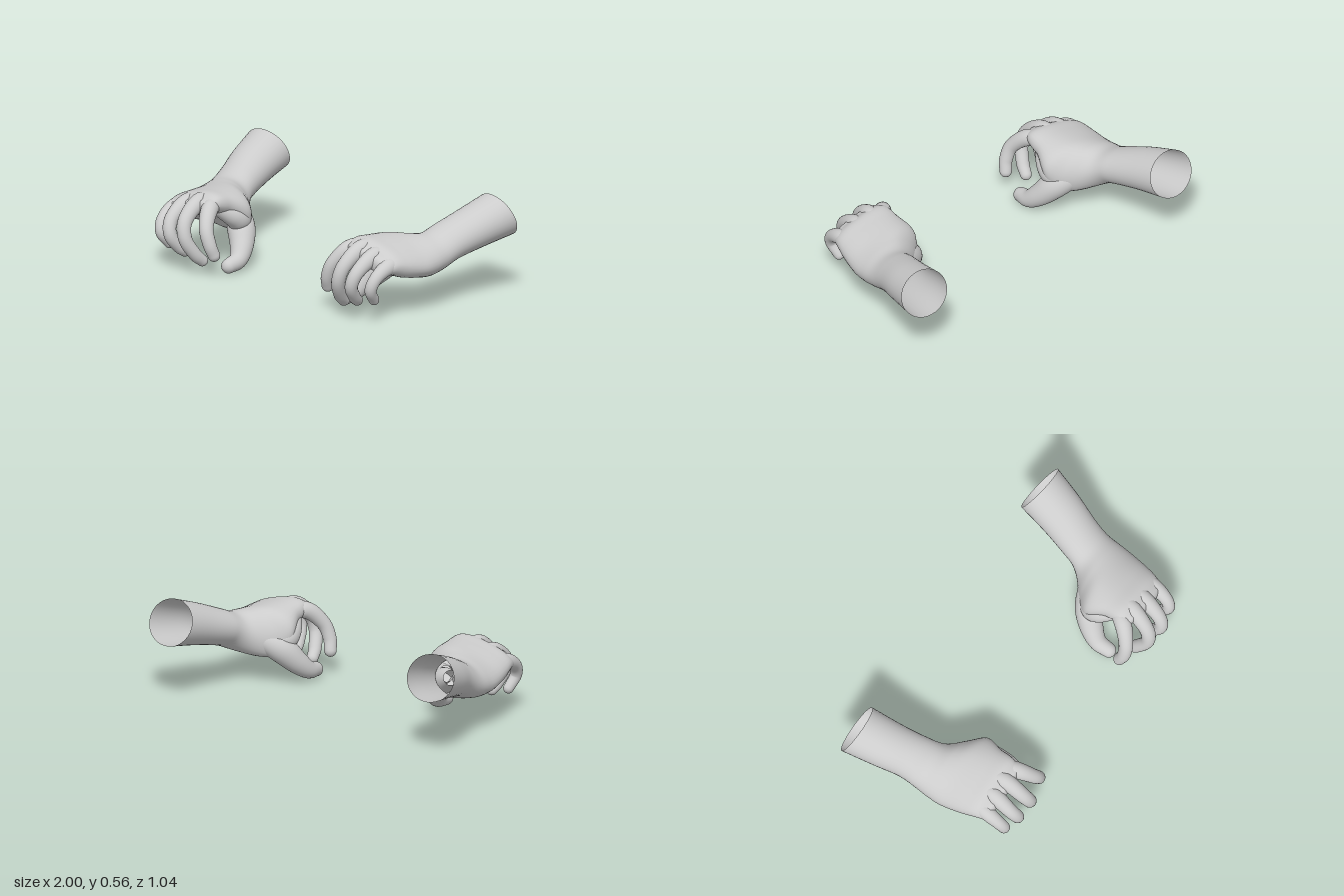
import * as THREE from 'three';

const SIDES = 36;
const V = (x, y, z) => new THREE.Vector3(x, y, z);
const { smoothstep } = THREE.MathUtils;
const skin = new THREE.MeshStandardMaterial({ color: 0xcccccc, side: THREE.DoubleSide });

// Skin a list of rings into a smooth surface, closed by a pole; side = -1 mirrors it in x
function skinRings(rings, pole, side) {
  const pos = [], index = [];
  for (const ring of rings) for (const p of ring) pos.push(p.x * side, p.y, p.z);
  pos.push(pole.x * side, pole.y, pole.z);
  const tri = (a, b, c) => (side > 0 ? index.push(a, b, c) : index.push(a, c, b));
  const last = rings.length - 1;
  for (let i = 0; i <= last; i++) {
    for (let j = 0; j < SIDES; j++) {
      const a = i * SIDES + j, b = i * SIDES + (j + 1) % SIDES;
      if (i === last) { tri(a, b, rings.length * SIDES); continue; }
      tri(a, b, a + SIDES);
      tri(b, b + SIDES, a + SIDES);
    }
  }
  const g = new THREE.BufferGeometry();
  g.setAttribute('position', new THREE.Float32BufferAttribute(pos, 3));
  g.setIndex(index);
  g.computeVertexNormals();
  return g;
}

// Ring of points; power below 1 makes the ellipse boxier
function makeRing(center, u, v, ru, rv, power = 1) {
  const round = (n) => Math.sign(n) * Math.abs(n) ** power;
  const ring = [];
  for (let j = 0; j < SIDES; j++) {
    const a = (j / SIDES) * Math.PI * 2;
    ring.push(center.clone()
      .addScaledVector(u, round(Math.cos(a)) * ru)
      .addScaledVector(v, round(Math.sin(a)) * rv));
  }
  return ring;
}

const curve = (points) => new THREE.CatmullRomCurve3(points, false, 'catmullrom');

// Tapered, round-tipped digit along points [x, y, z, radius]
function digit(points, side, shift = [0, 0, 0]) {
  const f = (i) => Math.min(1, i / 2);
  const path = curve(points.map((p, i) =>
    V(p[0] + shift[0] * f(i), p[1] + shift[1] * f(i), p[2] + shift[2] * f(i))));
  const radius = curve(points.map((p) => V(p[3], 0, 0)));
  const rings = [], steps = 28, caps = 7;
  let c, t, r;
  const add = (center, rad) => {
    const u = V(1, 0, 0).addScaledVector(t, -t.x).normalize();
    rings.push(makeRing(center, u, t.clone().cross(u), rad, rad));
  };
  for (let i = 0; i <= steps; i++) {
    c = path.getPoint(i / steps);
    t = path.getTangent(i / steps);
    r = radius.getPoint(i / steps).x;
    add(c, r);
  }
  for (let i = 1; i < caps; i++) {
    const a = (i / caps) * Math.PI / 2;
    add(c.clone().addScaledVector(t, r * Math.sin(a)), r * Math.cos(a));
  }
  return skinRings(rings, c.clone().addScaledVector(t, r), side);
}

// Forearm, wrist and palm: [x, y, z, half width, half thickness, roll]
const ARM = [
  [0.855, 0.443, -0.475, 0.145, 0.122, -0.1],
  [0.818, 0.395, -0.30, 0.136, 0.108, -0.08],
  [0.778, 0.347, -0.15, 0.13, 0.101, -0.08],
  [0.757, 0.308, -0.05, 0.133, 0.103, -0.15],
  [0.724, 0.301, 0.03, 0.166, 0.108, -0.22],
  [0.689, 0.311, 0.11, 0.2, 0.102, -0.25],
  [0.677, 0.327, 0.22, 0.193, 0.088, -0.25],
  [0.67, 0.344, 0.30, 0.18, 0.07, -0.25],
  [0.67, 0.338, 0.355, 0.16, 0.046, -0.25],
];
const THUMB_SIDE = V(-0.8, -0.6, 0);

function armAndPalm(side) {
  const path = curve(ARM.map((s) => V(s[0], s[1], s[2])));
  const size = curve(ARM.map((s) => V(s[3], s[4], s[5])));
  const rings = [], steps = 72, caps = 6;
  let c, s;
  const add = (center, k) => {
    const z = center.z;
    const u = V(Math.cos(s.z), Math.sin(s.z), 0), v = V(-Math.sin(s.z), Math.cos(s.z), 0);
    // The right hand is a little broader
    const broad = side < 0 ? 0.012 * smoothstep(z, -0.2, 0) : 0;
    const ring = makeRing(center, u, v, (s.x + broad) * k, s.y * k, 1 - 0.15 * smoothstep(z, 0.1, 0.3));
    // Forearm sections lean back, hand sections stand upright; the ball of the thumb swells out
    const lean = 1 - smoothstep(z, -0.35, 0.05);
    const ball = 0.1 * smoothstep(z, -0.13, 0.06) * (1 - smoothstep(z, 0.09, 0.24));
    for (const p of ring) {
      const facing = Math.max(0, p.clone().sub(center).normalize().dot(THUMB_SIDE));
      p.z += lean * (0.4 * (p.y - center.y) + 0.08 * (p.x - center.x));
      p.addScaledVector(THUMB_SIDE, ball * facing * facing);
    }
    rings.push(ring);
  };
  for (let i = 0; i <= steps; i++) {
    c = path.getPoint(i / steps);
    s = size.getPoint(i / steps);
    add(c, 1);
  }
  for (let i = 1; i < caps; i++) {
    const a = (i / caps) * Math.PI / 2;
    add(c.clone().add(V(0, 0, 0.03 * Math.sin(a))), Math.cos(a));
  }
  return skinRings(rings, c.clone().add(V(0, 0, 0.03)), side);
}

const DIGITS = {
  indexFinger: [[0.58, 0.345, 0.19, 0.035], [0.515, 0.365, 0.315, 0.047], [0.448, 0.285, 0.39, 0.04],
    [0.412, 0.2, 0.403, 0.037], [0.395, 0.135, 0.385, 0.034]],
  middleFinger: [[0.63, 0.35, 0.19, 0.035], [0.598, 0.382, 0.32, 0.047], [0.572, 0.305, 0.437, 0.041],
    [0.548, 0.21, 0.465, 0.038], [0.52, 0.12, 0.42, 0.036], [0.506, 0.075, 0.375, 0.032]],
  ringFinger: [[0.70, 0.33, 0.19, 0.035], [0.69, 0.358, 0.32, 0.047], [0.675, 0.29, 0.443, 0.039],
    [0.655, 0.208, 0.476, 0.036], [0.635, 0.135, 0.43, 0.034], [0.623, 0.105, 0.395, 0.031]],
  littleFinger: [[0.78, 0.305, 0.19, 0.035], [0.79, 0.316, 0.315, 0.045], [0.785, 0.272, 0.412, 0.036],
    [0.77, 0.203, 0.445, 0.033], [0.752, 0.135, 0.4, 0.029]],
  thumb: [[0.66, 0.28, 0.0, 0.04], [0.59, 0.25, 0.045, 0.065], [0.517, 0.2, 0.095, 0.077],
    [0.462, 0.127, 0.15, 0.065], [0.428, 0.069, 0.215, 0.05], [0.427, 0.05, 0.29, 0.041]],
  thumbWeb: [[0.60, 0.28, 0.05, 0.045], [0.522, 0.25, 0.11, 0.065], [0.508, 0.28, 0.165, 0.06],
    [0.54, 0.335, 0.25, 0.042]],
};

// The right hand holds its fingers slightly differently
const RIGHT_SHIFT = {
  indexFinger: [0.025, 0, 0.035],
  middleFinger: [0.03, 0, 0.015],
  ringFinger: [0.035, 0, 0.003],
  littleFinger: [0.01, -0.005, 0.008],
  thumb: [0, -0.005, 0.005],
};

function hand(name, side) {
  const group = new THREE.Group();
  group.name = name;
  const add = (part, geometry) => {
    const mesh = new THREE.Mesh(geometry, skin);
    mesh.name = part;
    group.add(mesh);
  };
  add('forearmAndPalm', armAndPalm(side));
  for (const [part, points] of Object.entries(DIGITS)) {
    add(part, digit(points, side, side < 0 ? RIGHT_SHIFT[part] : undefined));
  }
  return group;
}

export function createModel() {
  const model = new THREE.Group();
  model.name = 'pairOfHands';
  model.add(hand('leftHand', 1), hand('rightHand', -1));
  return model;
}
